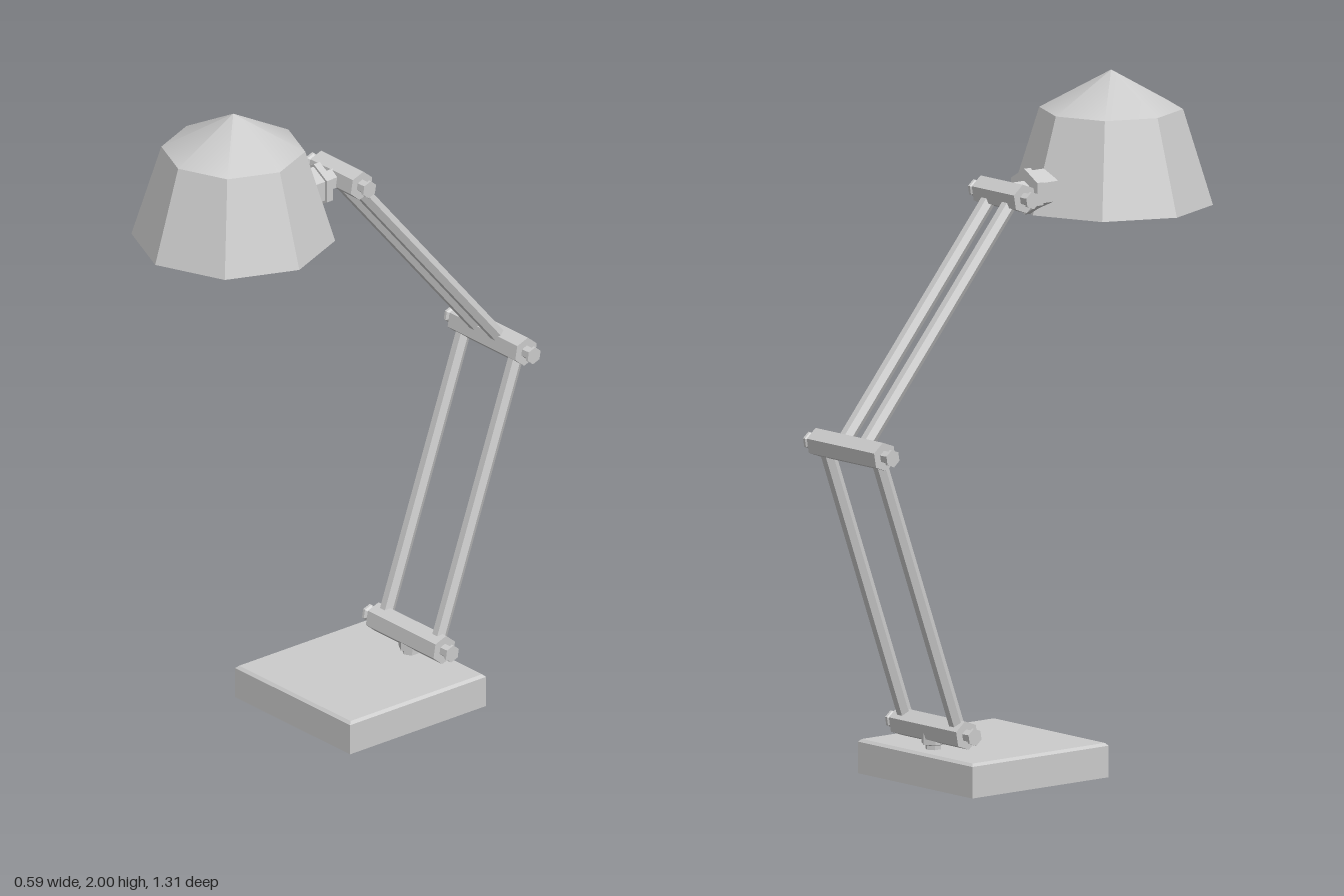
import * as THREE from 'three';

const flat = new THREE.MeshStandardMaterial({ color: 0xcccccc, flatShading: true });
const smooth = new THREE.MeshStandardMaterial({ color: 0xcccccc });
const HEX_TILT = Math.PI / 9;

function lathe(name, points, sides, material = flat) {
  const profile = points.map(([r, y]) => new THREE.Vector2(r, y));
  const mesh = new THREE.Mesh(new THREE.LatheGeometry(profile, sides), material);
  mesh.name = name;
  return mesh;
}

// Hinge: hexagonal bar along x with a flared pin at each end
function hinge(name, halfLength, y, z) {
  const group = new THREE.Group();
  group.name = name;
  const e = halfLength;
  const profile = [
    [0, -e - 0.036], [0.026, -e - 0.036], [0.026, -e - 0.028], [0.019, -e - 0.022], [0.019, -e],
    [0.043, -e], [0.043, e],
    [0.019, e], [0.019, e + 0.022], [0.026, e + 0.028], [0.026, e + 0.036], [0, e + 0.036],
  ];
  const bar = lathe(name + 'Bar', profile, 6);
  bar.geometry.rotateZ(Math.PI / 2).rotateX(HEX_TILT);
  group.add(bar);
  group.position.set(0, y, z);
  return group;
}

// Pair of parallel hexagonal rods between two hinges, given as [y, z]
function rodPair(name, x, [y0, z0], [y1, z1]) {
  const group = new THREE.Group();
  group.name = name;
  const dy = y1 - y0, dz = z1 - z0;
  const geometry = new THREE.CylinderGeometry(0.022, 0.022, Math.hypot(dy, dz), 6);
  geometry.rotateY(Math.PI / 6).rotateX(Math.atan2(dz, dy));
  for (const side of [-1, 1]) {
    const rod = new THREE.Mesh(geometry, flat);
    rod.name = name + (side > 0 ? 'Left' : 'Right');
    rod.position.set(side * x, (y0 + y1) / 2, (z0 + z1) / 2);
    group.add(rod);
  }
  return group;
}

export function createModel() {
  const model = new THREE.Group();
  model.name = 'deskLamp';
  const foot = [0.16, -0.305], elbow = [1.01, -0.612], wrist = [1.685, -0.042];

  // Square base with a small bevel around the top
  const d = Math.SQRT2;
  const base = lathe('base', [[0, 0], [0.255 * d, 0], [0.255 * d, 0.092], [0.247 * d, 0.1], [0, 0.1]], 4);
  base.geometry.rotateY(Math.PI / 4);
  base.position.z = -0.118;
  model.add(base);

  // Stem joining the base to the foot hinge
  const stem = lathe('stem', [[0.024, 0.095], [0.024, 0.112], [0.036, 0.116], [0.036, 0.15]], 6);
  stem.position.z = foot[1];
  model.add(stem);

  // Arms and hinges
  model.add(hinge('footHinge', 0.15, ...foot));
  model.add(rodPair('lowerArm', 0.116, foot, elbow));
  model.add(hinge('elbowHinge', 0.15, ...elbow));
  model.add(rodPair('upperArm', 0.046, elbow, wrist));
  model.add(hinge('wristHinge', 0.094, ...wrist));

  // Stepped hexagonal neck running forward into the shade
  const neck = lathe('neck', [
    [0, -0.04], [0.032, -0.04], [0.032, 0.035], [0.067, 0.035], [0.067, 0.058],
    [0.059, 0.058], [0.059, 0.118], [0, 0.118],
  ], 6);
  neck.geometry.rotateX(Math.PI / 2);
  // after the turn, the profile's axis points to +z
  neck.position.y = 1.683;
  model.add(neck);

  // Eight-sided shade: inner ceiling, inner wall, rim, outer wall
  const shade = new THREE.Group();
  shade.name = 'shade';
  shade.add(lathe('shadeWall', [[0, 1.92], [0.185, 1.83], [0.25, 1.61], [0.293, 1.61], [0.207, 1.888]], 8));
  shade.add(lathe('shadeCap', [[0.207, 1.888], [0, 2]], 8, smooth));
  shade.position.z = 0.36;
  model.add(shade);

  return model;
}
